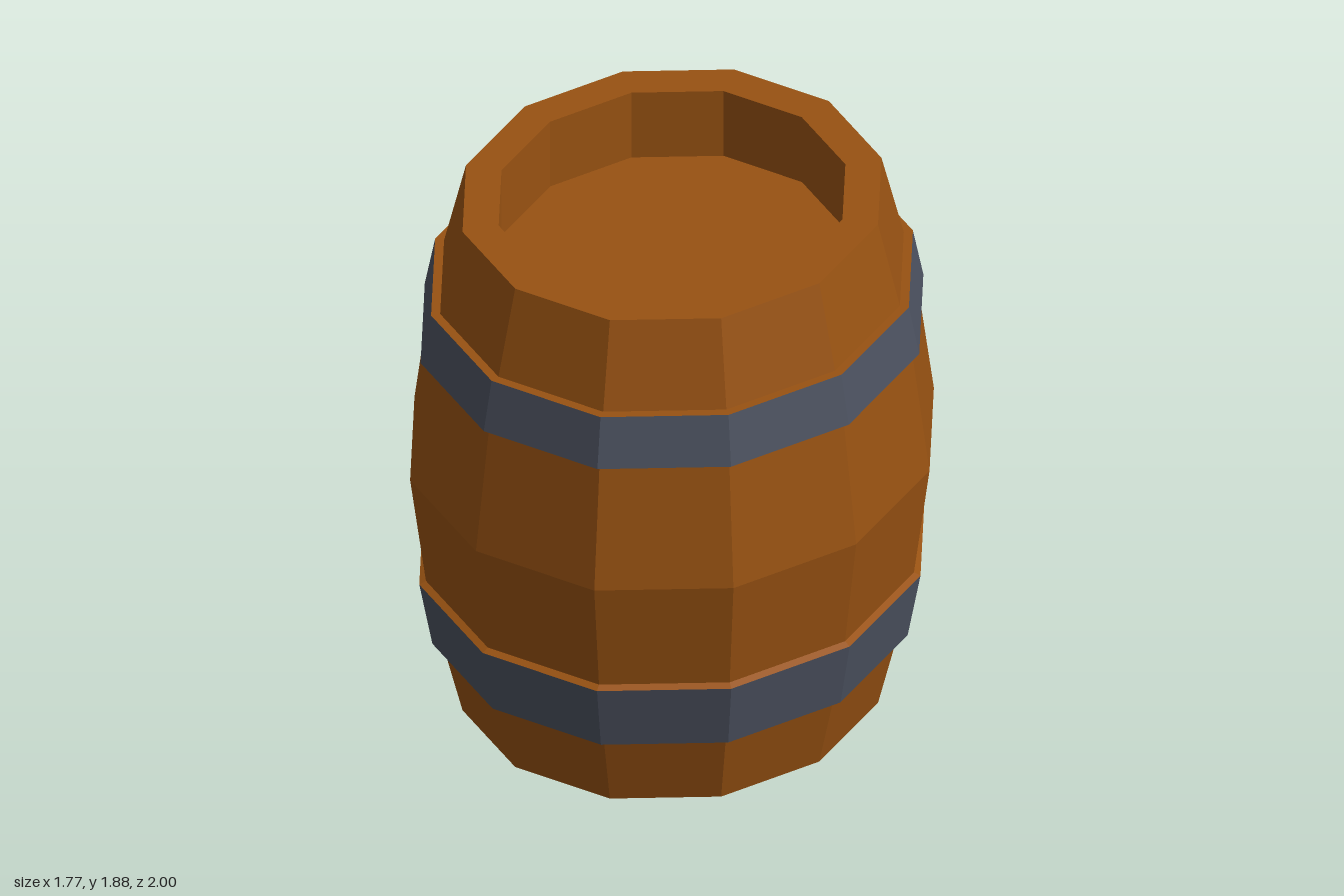
import * as THREE from 'three';

const SIDES = 12;
const WIDTH = 0.885; // the barrel is narrower in x than in z

const wood = new THREE.MeshStandardMaterial({ color: 0x985212, flatShading: true });
const iron = new THREE.MeshStandardMaterial({ color: 0x4c5260, flatShading: true });

// Faceted ring from a [radius, height] profile that runs upwards on the outside
function turn(name, profile, material) {
  const points = profile.map(([r, y]) => new THREE.Vector2(r, y));
  const geometry = new THREE.LatheGeometry(points, SIDES).scale(WIDTH, 1, 1).toNonIndexed();
  geometry.computeVertexNormals();
  const mesh = new THREE.Mesh(geometry, material);
  mesh.name = name;
  return mesh;
}

// Iron band with wooden ledges closing it against the staves
function hoop(name, [innerLow, low, high, innerHigh]) {
  const group = new THREE.Group();
  group.name = name;
  group.add(
    turn('ironBand', [low, high], iron),
    turn('lowerLedge', [innerLow, low], wood),
    turn('upperLedge', [high, innerHigh], wood)
  );
  return group;
}

export function createModel() {
  const barrel = new THREE.Group();
  barrel.name = 'barrel';

  // Bottom, bulging staves, rim and recessed lid
  barrel.add(turn('body', [
    [0, 0], [0.8, 0], [0.93, 0.47], [1, 0.943], [0.93, 1.415], [0.8, 1.885],
    [0.662, 1.885], [0.662, 1.63], [0, 1.63]
  ], wood));

  barrel.add(hoop('lowerHoop', [[0.87, 0.283], [0.915, 0.283], [0.965, 0.525], [0.935, 0.537]]));
  barrel.add(hoop('upperHoop', [[0.93, 1.383], [0.96, 1.397], [0.92, 1.577], [0.88, 1.577]]));

  return barrel;
}
